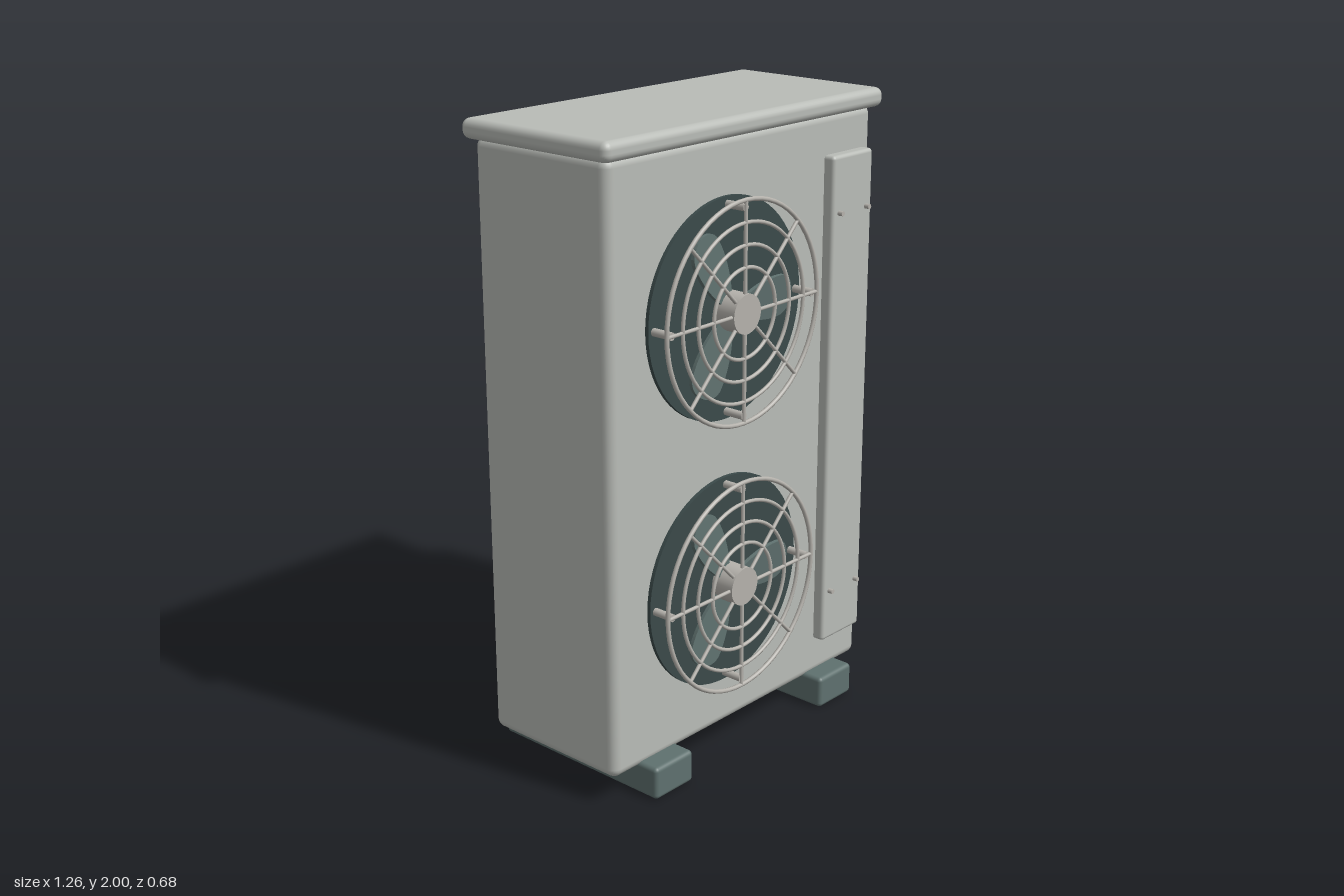
import * as THREE from 'three';
import { RoundedBoxGeometry } from 'three/addons/geometries/RoundedBoxGeometry.js';

const mat = (name, color) => {
  const m = new THREE.MeshStandardMaterial({ color });
  m.name = name;
  return m;
};

export function createModel() {
  const model = new THREE.Group();
  model.name = 'outdoorUnit';
  const casing = mat('casing grey', 0xb9bcb7);
  const trim = mat('grille grey', 0xb5b2ac);
  const dark = mat('dark recess', 0x3b4a4a);
  const slate = mat('slate', 0x5f716f);

  const add = (parent, name, geometry, material, x = 0, y = 0, z = 0) => {
    const mesh = new THREE.Mesh(geometry, material);
    mesh.name = name;
    mesh.position.set(x, y, z);
    parent.add(mesh);
    return mesh;
  };
  // Rounded box given by its limits on each axis
  const block = (name, material, x0, x1, y0, y1, z0, z1, r) =>
    add(model, name, new RoundedBoxGeometry(x1 - x0, y1 - y0, z1 - z0, 3, r), material,
      (x0 + x1) / 2, (y0 + y1) / 2, (z0 + z1) / 2);
  // Cylinder lying along z between two depths
  const rod = (parent, name, material, r, x, y, z0, z1, sides) =>
    add(parent, name, new THREE.CylinderGeometry(r, r, z1 - z0, sides).rotateX(Math.PI / 2),
      material, x, y, (z0 + z1) / 2);

  // Cabinet, lid and feet
  block('cabinet', casing, -0.605, 0.573, 0.087, 1.95, -0.27, 0.25, 0.03);
  block('lid', casing, -0.63, 0.602, 1.94, 2.0, -0.298, 0.275, 0.024);
  for (const x of [-0.412, 0.38]) {
    block('foot', slate, x - 0.083, x + 0.083, 0, 0.105, -0.337, 0.318, 0.014);
  }

  // Service panel with four screws
  block('servicePanel', casing, 0.34, 0.536, 0.217, 1.822, 0.24, 0.287, 0.012);
  for (const x of [0.371, 0.505]) {
    for (const y of [0.39, 1.645]) rod(model, 'panelScrew', trim, 0.008, x, y, 0.28, 0.303, 12);
  }

  // Side vent with tilted slats
  add(model, 'ventBacking', new THREE.BoxGeometry(0.045, 1.48, 0.37), dark, 0.5825, 1.02, -0.007);
  for (let i = 0; i < 20; i++) {
    const slat = add(model, 'ventSlat', new THREE.BoxGeometry(0.05, 0.024, 0.368), trim,
      0.606, 0.341 + i * 0.0715, -0.009);
    slat.rotation.z = -0.17;
  }

  // Paddle outline pointing along +x
  const paddle = new THREE.Shape();
  paddle.moveTo(0.04, -0.025);
  paddle.bezierCurveTo(0.1, -0.055, 0.17, -0.07, 0.23, -0.06);
  paddle.bezierCurveTo(0.285, -0.045, 0.285, 0.05, 0.23, 0.065);
  paddle.bezierCurveTo(0.17, 0.072, 0.1, 0.055, 0.04, 0.025);
  paddle.closePath();
  const bladeGeo = new THREE.ExtrudeGeometry(paddle, { depth: 0.012, bevelEnabled: false, curveSegments: 10 });
  bladeGeo.translate(0, 0, -0.006);

  for (const y of [0.585, 1.44]) {
    const fan = new THREE.Group();
    fan.name = 'fan';
    fan.position.set(-0.122, y, 0);
    model.add(fan);

    rod(fan, 'fanRecess', dark, 0.335, 0, 0, 0.24, 0.262, 64);
    rod(fan, 'fanHub', trim, 0.06, 0, 0, 0.25, 0.341, 32);

    // Three slightly pitched blades
    for (let i = 0; i < 3; i++) {
      const arm = new THREE.Group();
      arm.name = 'bladeArm';
      arm.rotation.z = i * Math.PI * 2 / 3;
      fan.add(arm);
      add(arm, 'fanBlade', bladeGeo, slate, 0, 0, 0.277).rotation.x = 0.1;
    }

    // Guard: concentric rings, spokes and standoff posts
    for (const r of [0.334, 0.268, 0.202, 0.136]) {
      const tube = r > 0.3 ? 0.007 : 0.006;
      add(fan, 'guardRing', new THREE.TorusGeometry(r, tube, 8, 64), trim, 0, 0, 0.331);
    }
    for (let i = 0; i < 8; i++) {
      const a = i * Math.PI / 4;
      const c = Math.cos(a), s = Math.sin(a);
      const spoke = add(fan, 'guardSpoke', new THREE.CylinderGeometry(0.006, 0.006, 0.285, 8),
        trim, c * 0.192, s * 0.192, 0.331);
      spoke.rotation.z = a - Math.PI / 2;
      if (i % 2 === 0) rod(fan, 'guardPost', trim, 0.012, c * 0.312, s * 0.312, 0.25, 0.331, 16);
    }
  }
  return model;
}
